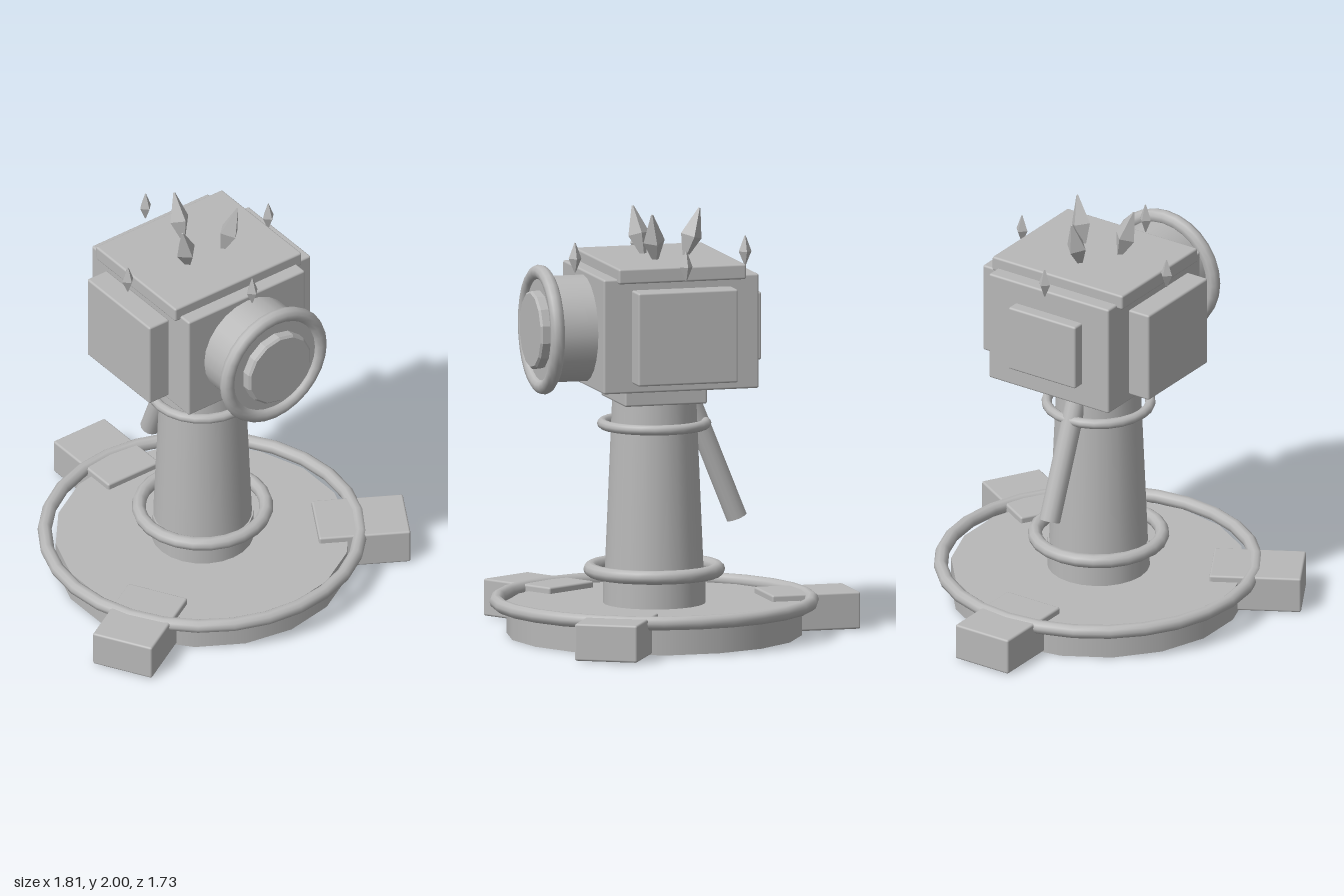
import * as THREE from 'three';
import { RoundedBoxGeometry } from 'three/addons/geometries/RoundedBoxGeometry.js';

const AXIS_Z = 0.095; // centre line of base and column
const HEAD_Z = 0.06; // centre of the head
const LENS_Y = 1.458;

export function createModel() {
  const model = new THREE.Group();
  model.name = 'pedestalViewer';

  const grey = new THREE.MeshStandardMaterial({ color: 0xb8b8b8 });
  grey.name = 'plainGrey';
  const facetGrey = grey.clone();
  facetGrey.name = 'plainGreyFaceted';
  facetGrey.flatShading = true;

  function add(name, geometry, x, y, z, material = grey) {
    const mesh = new THREE.Mesh(geometry, material);
    mesh.name = name;
    mesh.position.set(x, y, z);
    model.add(mesh);
    return mesh;
  }

  // Softly bevelled box given by its extents on each axis
  function box(name, [x0, x1], [y0, y1], [z0, z1], bevel = 0.01) {
    const g = new RoundedBoxGeometry(x1 - x0, y1 - y0, z1 - z0, 2, bevel);
    return add(name, g, (x0 + x1) / 2, (y0 + y1) / 2, (z0 + z1) / 2);
  }

  // Upright cylinder on the column axis
  function drum(name, rTop, rBottom, y0, y1, sides) {
    const g = new THREE.CylinderGeometry(rTop, rBottom, y1 - y0, sides);
    return add(name, g, 0, (y0 + y1) / 2, AXIS_Z);
  }

  // Horizontal ring on the column axis
  function ring(name, radius, tube, y, sides) {
    const g = new THREE.TorusGeometry(radius, tube, 10, sides).rotateX(Math.PI / 2);
    return add(name, g, 0, y, AXIS_Z);
  }

  // Four-sided crystal standing between two points, widest below its middle
  function crystal(name, bottom, top, radius) {
    const length = top.distanceTo(bottom);
    const tip = radius * 0.1;
    const profile = [
      [0, 0], [tip, 0], [radius, length * 0.47], [tip, length], [0, length],
    ].map(([r, y]) => new THREE.Vector2(r, y));
    const g = new THREE.LatheGeometry(profile, 4);
    const mesh = add(name, g, bottom.x, bottom.y, bottom.z, facetGrey);
    const direction = top.clone().sub(bottom).normalize();
    mesh.quaternion.setFromUnitVectors(new THREE.Vector3(0, 1, 0), direction);
    return mesh;
  }

  // Base disc, rail and three feet
  drum('baseDisc', 0.69, 0.69, 0, 0.15, 18);
  ring('baseRail', 0.737, 0.033, 0.158, 28);
  for (let i = 0; i < 3; i++) {
    const angle = Math.PI + (i * Math.PI * 2) / 3;
    const foot = add('foot', new RoundedBoxGeometry(0.3, 0.175, 0.43, 2, 0.01),
      Math.sin(angle) * 0.745, 0.0925, AXIS_Z + Math.cos(angle) * 0.745);
    foot.rotation.y = angle;
  }

  // Tapered column with collars
  drum('columnPlinth', 0.238, 0.24, 0.14, 0.28, 24);
  drum('column', 0.196, 0.232, 0.27, 1.12, 24);
  ring('lowerCollar', 0.298, 0.033, 0.308, 24);
  ring('upperCollar', 0.243, 0.024, 0.995, 24);
  box('neck', [-0.2, 0.2], [1.105, 1.2], [AXIS_Z - 0.2, AXIS_Z + 0.2]);

  // Slanted handle behind the column
  const handleTop = new THREE.Vector3(0, 1.17, -0.05);
  const handleEnd = new THREE.Vector3(0, 0.535, -0.306);
  const handle = add('handle',
    new THREE.CylinderGeometry(0.05, 0.05, handleTop.distanceTo(handleEnd), 14), 0, 0, 0);
  handle.position.lerpVectors(handleTop, handleEnd, 0.5);
  handle.quaternion.setFromUnitVectors(new THREE.Vector3(0, 1, 0),
    handleTop.clone().sub(handleEnd).normalize());

  // Head with lid and panels
  box('head', [-0.34, 0.34], [1.19, 1.73], [-0.315, 0.44]);
  box('lid', [-0.37, 0.37], [1.71, 1.782], [-0.245, 0.375]);
  box('rightPanel', [-0.472, -0.355], [1.24, 1.68], [-0.175, 0.31]);
  box('leftPanel', [0.355, 0.472], [1.24, 1.68], [-0.175, 0.31]);
  box('backPanel', [-0.19, 0.19], [1.3, 1.62], [-0.372, -0.3]);

  // Lens barrel, rim and front cap
  const barrel = new THREE.CylinderGeometry(0.25, 0.25, 0.23, 24).rotateX(Math.PI / 2);
  add('lensBarrel', barrel, 0, LENS_Y, 0.535);
  add('lensRim', new THREE.TorusGeometry(0.27, 0.034, 10, 28), 0, LENS_Y, 0.643);
  const capProfile = [[0.184, 0], [0.184, 0.058], [0.174, 0.068], [0, 0.068]]
    .map(([r, y]) => new THREE.Vector2(r, y));
  const cap = new THREE.LatheGeometry(capProfile, 14).rotateX(Math.PI / 2);
  add('lensCap', cap, 0, LENS_Y, 0.63, facetGrey);

  // Three large crystals leaning outward on the lid
  for (let i = 0; i < 3; i++) {
    const angle = Math.PI + (i * Math.PI * 2) / 3;
    const at = (r, y) => new THREE.Vector3(Math.sin(angle) * r, y, HEAD_Z + Math.cos(angle) * r);
    crystal('largeCrystal', at(0.11, 1.755), at(0.185, 2), 0.052);
  }

  // Four small crystals hovering around the head
  for (const [x, z] of [[0.41, HEAD_Z], [-0.41, HEAD_Z], [0, 0.48], [0, -0.347]]) {
    crystal('smallCrystal', new THREE.Vector3(x, 1.72, z), new THREE.Vector3(x, 1.86, z), 0.031);
  }

  return model;
}
